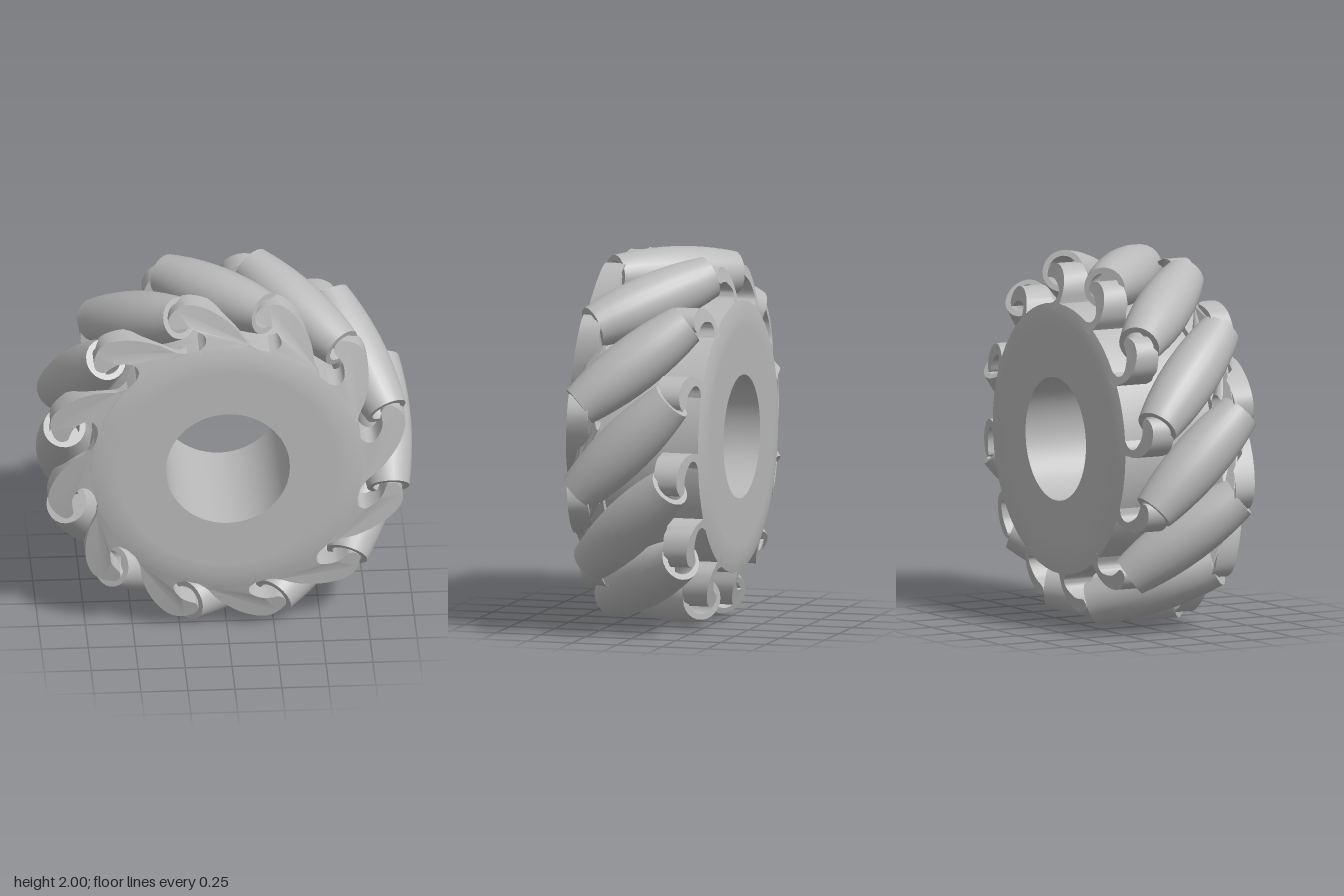
import * as THREE from 'three';
import { toCreasedNormals } from 'three/addons/utils/BufferGeometryUtils.js';

const COUNT = 12;          // rollers around the wheel
const FIRST = 93;          // angle of the first roller, degrees
const AXIS_R = 0.85;       // distance of roller axes from the wheel axis
const HALF = 0.36;         // half length of a roller
const FACE_Z = 0.385;      // front and back face of the hub
const PLATE_Z = 0.18;      // inner side of the end plates
const rad = THREE.MathUtils.degToRad;

// The outer rim of each face is bevelled into a shallow cone
const faceZ = (r) => FACE_Z - 0.28 * Math.max(0, r - 0.65);

function lathe(points, segments) {
  return new THREE.LatheGeometry(points.map(([r, y]) => new THREE.Vector2(r, y)), segments);
}

// Drum with two end plates and a through bore
function hubGeometry() {
  const half = [
    [0.33, FACE_Z], [0.58, FACE_Z], [0.65, FACE_Z], [0.724, faceZ(0.724)], [0.724, PLATE_Z], [0.69, PLATE_Z],
  ];
  const lower = half.map(([r, y]) => [r, -y]);
  const profile = [...lower, ...half.slice().reverse(), lower[0]];
  return toCreasedNormals(lathe(profile, 60).rotateX(Math.PI / 2), 0.5);
}

// Barrel whose bulge follows the round outline of the wheel, hollow at the ends
function rollerGeometry() {
  const steps = 10, bore = 0.082, depth = 0.2;
  const outer = [];
  for (let i = 0; i <= steps; i++) {
    const s = HALF * (2 * i / steps - 1);
    outer.push([1 - Math.hypot(AXIS_R, s * Math.SQRT1_2), s]);
  }
  const profile = [
    [0, -HALF + depth], [bore, -HALF + depth], [bore, -HALF],
    ...outer,
    [bore, HALF], [bore, HALF - depth], [0, HALF - depth],
  ];
  return toCreasedNormals(lathe(profile, 24), 0.3);
}

// Inner side of the hooks, as [degrees, radius], from the hub to the tip
const INNER = [[72.3, 0.722], [69, 0.75], [68.6, 0.79], [72.9, 0.845], [76, 0.858], [79, 0.867]];
// Outer sides from the tip back to the hub: a broad arm in front, a slim finger behind
const BROAD = [[80.2, 0.91], [78, 0.95], [73, 0.975], [66, 0.93], [57.2, 0.83], [51.5, 0.75], [47, 0.722]];
const SLIM = [[79.3, 0.9], [76, 0.93], [71.5, 0.92], [67.5, 0.87], [65.5, 0.8], [65.8, 0.722]];

// Curled arm reaching from the end plate into the hollow end of a roller
function hookGeometry(outer) {
  const polar = ([deg, r]) => {
    const a = rad(deg - FIRST);
    return new THREE.Vector3(r * Math.cos(a), r * Math.sin(a), 0);
  };
  const curve = new THREE.CatmullRomCurve3([...INNER, ...outer].map(polar)).getPoints(44);
  const rootA = outer[outer.length - 1][0], rootB = INNER[0][0];
  const base = [rootA, (rootA + rootB) / 2, rootB].map((a) => polar([a, 0.69]));
  const shape = new THREE.Shape([...curve, ...base].map((p) => new THREE.Vector2(p.x, p.y)));
  const geo = new THREE.ExtrudeGeometry(shape, { depth: FACE_Z - PLATE_Z, bevelEnabled: false });
  geo.translate(0, 0, PLATE_Z);

  // Bevel the outside face and hollow the inside to clear the neighbouring roller
  const pos = geo.attributes.position;
  const step = 2 * Math.PI / COUNT, clearance = 0.165;
  for (let i = 0; i < pos.count; i++) {
    const r = Math.hypot(pos.getX(i), pos.getY(i));
    if (pos.getZ(i) > 0.3) {
      pos.setZ(i, faceZ(r));
    } else {
      const a = Math.atan2(pos.getY(i), pos.getX(i)) + step;
      const off = r * Math.cos(a) - AXIS_R;
      const reach = Math.sqrt(Math.max(0, clearance ** 2 - off ** 2)) * Math.SQRT2;
      const cleared = reach > 0 ? reach - r * Math.sin(a) : PLATE_Z;
      pos.setZ(i, THREE.MathUtils.clamp(cleared, PLATE_Z, faceZ(r) - 0.03));
    }
  }
  return toCreasedNormals(geo, 0.5);
}

export function createModel() {
  const model = new THREE.Group();
  model.name = 'omnidirectionalWheel';
  const grey = new THREE.MeshStandardMaterial({ color: 0xbababa });
  grey.name = 'lightGrey';

  const add = (parent, geometry, name) => {
    const mesh = new THREE.Mesh(geometry, grey);
    mesh.name = name;
    parent.add(mesh);
    return mesh;
  };

  const wheel = new THREE.Group();
  wheel.name = 'wheel';
  wheel.position.y = 1;
  model.add(wheel);
  add(wheel, hubGeometry(), 'hub');

  // Each sector holds one slanted roller between a front and a back hook
  const roller = rollerGeometry();
  const broadHook = hookGeometry(BROAD);
  const slimHook = hookGeometry(SLIM);
  for (let i = 0; i < COUNT; i++) {
    const sector = new THREE.Group();
    sector.name = 'sector' + (i + 1);
    sector.rotation.z = rad(FIRST + i * 360 / COUNT);
    wheel.add(sector);

    const barrel = add(sector, roller, 'roller');
    barrel.position.x = AXIS_R;
    barrel.rotation.x = -Math.PI / 4;

    add(sector, broadHook, 'frontHook');
    add(sector, slimHook, 'backHook').rotation.x = Math.PI;
  }
  return model;
}
